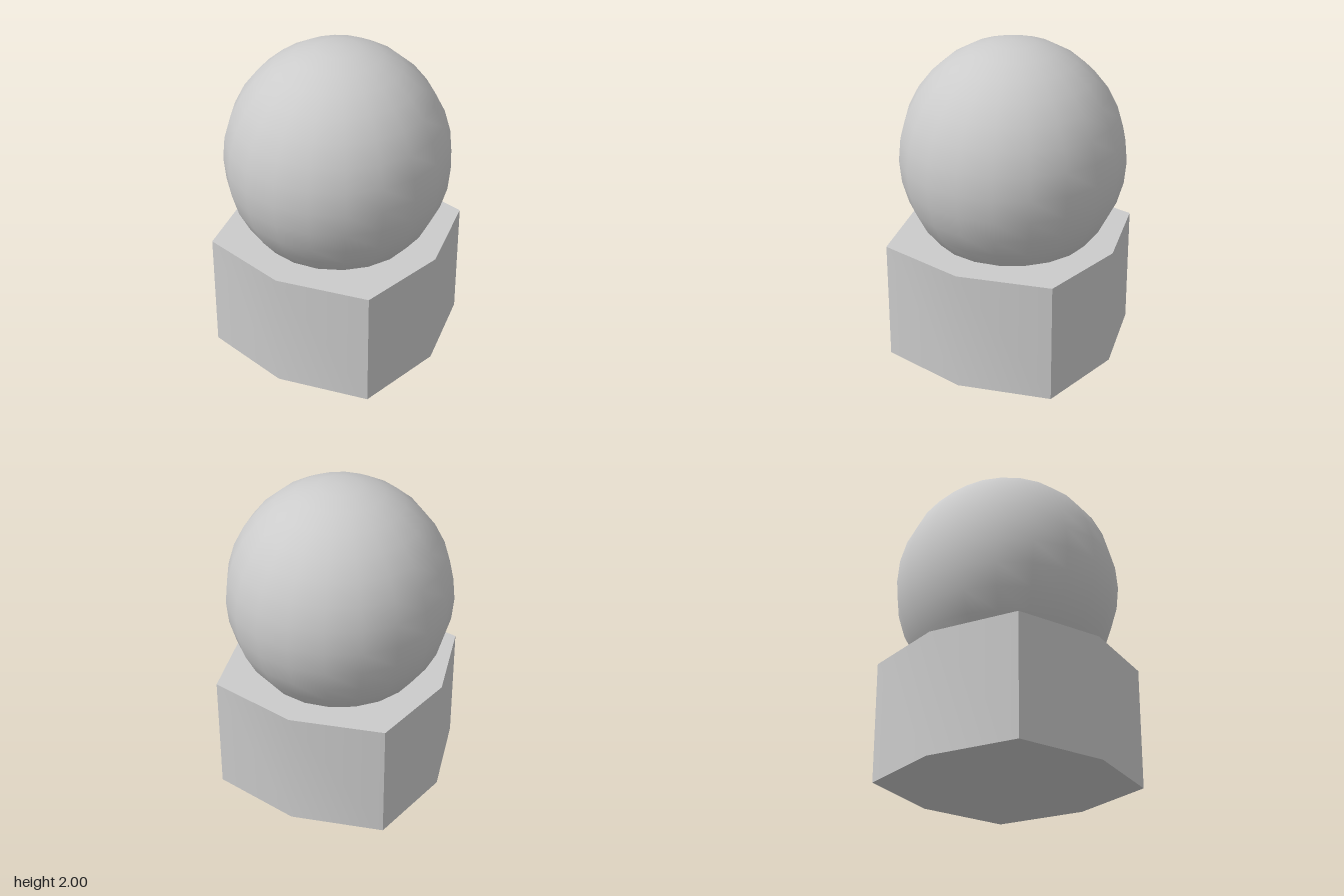
import * as THREE from 'three';
import { toCreasedNormals } from 'three/addons/utils/BufferGeometryUtils.js';

export function createModel() {
  const group = new THREE.Group();
  const material = new THREE.MeshStandardMaterial({ color: 0xcccccc });

  // Base: block with sharp corners and sides that bulge slightly at the middle
  const baseHeight = 0.755;
  const outline = [];
  for (let i = 0; i < 8; i++) {
    const angle = (i * Math.PI) / 4;
    const radius = i % 2 ? 0.8 : 0.695;
    outline.push(new THREE.Vector2(radius * Math.cos(angle), radius * Math.sin(angle)));
  }
  const block = new THREE.ExtrudeGeometry(new THREE.Shape(outline), {
    depth: baseHeight,
    bevelEnabled: false,
  });
  block.rotateX(-Math.PI / 2);
  // Soft shading over the mid-side bulges, hard edges at the corners
  const base = new THREE.Mesh(toCreasedNormals(block, 0.7), material);
  base.name = 'base';
  base.position.set(0.004, 0, 0.004);
  group.add(base);

  // Ball: slightly tall sphere sunk into the base
  const ball = new THREE.Mesh(new THREE.SphereGeometry(1, 20, 16), material);
  ball.name = 'ball';
  ball.scale.set(0.697, 0.73, 0.697);
  ball.position.set(-0.004, 1.27, -0.004);
  group.add(ball);

  return group;
}
